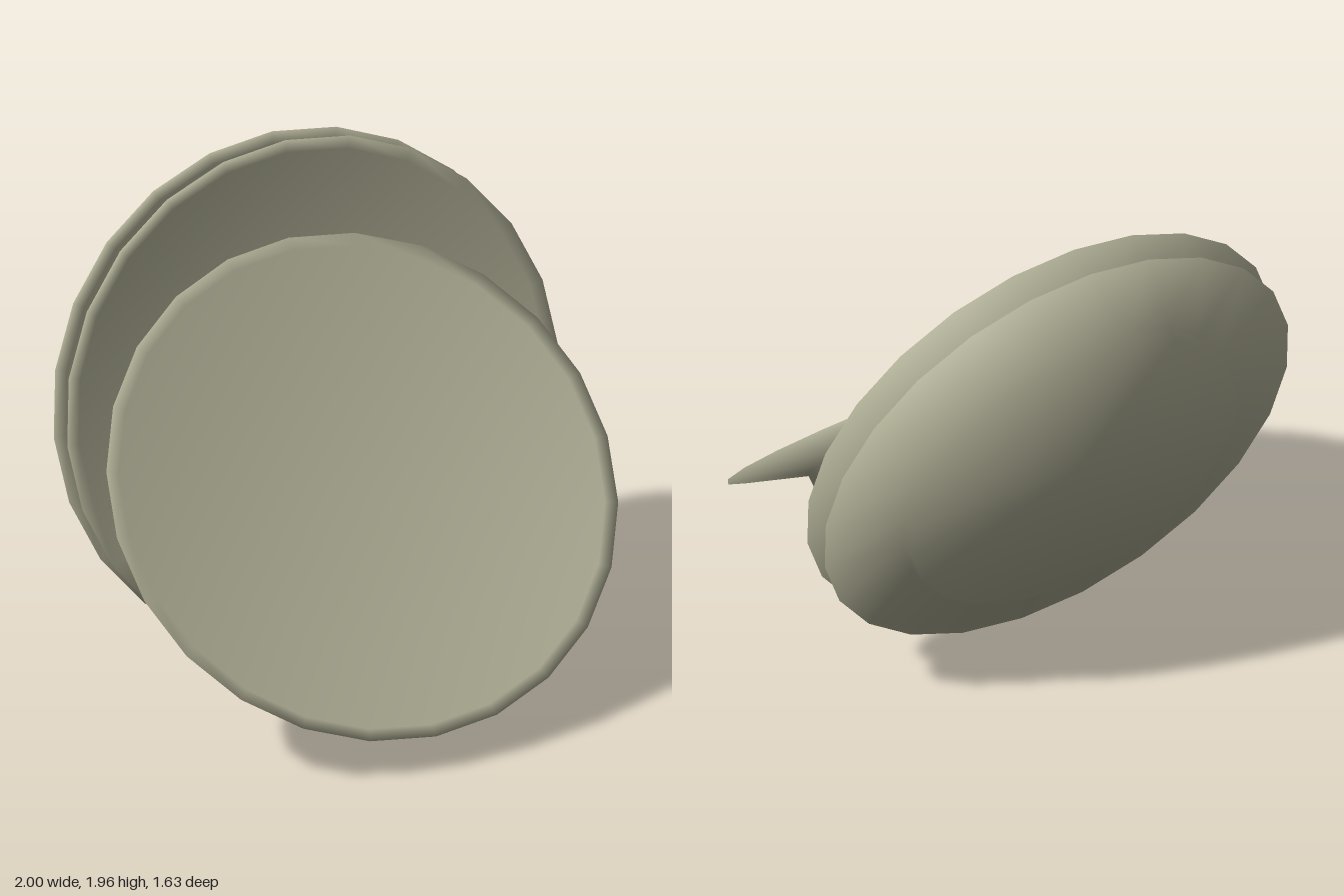
import * as THREE from 'three';

const SEGMENTS = 24;

// Half section of a plate, from the foot centre out to the rim and back to the well centre
const PROFILE = [
  [0, -0.137], [0.70, -0.137], [0.706, -0.078], [1, 0], [0.95, -0.006], [0.62, -0.09], [0, -0.09],
].map(([r, d]) => new THREE.Vector2(r, d));

// Smooth normal of each profile point: equal-weight mean of its two neighbouring edges
function profileNormals(points) {
  const edges = points.slice(1).map((p, i) => {
    const d = p.clone().sub(points[i]).normalize();
    return new THREE.Vector2(d.y, -d.x);
  });
  return points.map((p, i) => {
    if (i === 0) return edges[0].clone();
    if (i === points.length - 1) return edges[i - 1].clone();
    return edges[i - 1].clone().add(edges[i]).normalize();
  });
}

function plateGeometry() {
  const geometry = new THREE.LatheGeometry(PROFILE, SEGMENTS);
  const section = profileNormals(PROFILE);
  const normal = geometry.attributes.normal;
  for (let i = 0; i < normal.count; i++) {
    const n = section[i % PROFILE.length];
    const phi = Math.floor(i / PROFILE.length) / SEGMENTS * Math.PI * 2;
    normal.setXYZ(i, n.x * Math.sin(phi), n.y, n.x * Math.cos(phi));
  }
  return geometry;
}

export function createModel() {
  const group = new THREE.Group();
  group.name = 'plates';
  const ceramic = new THREE.MeshStandardMaterial({ color: 0xabaa92 });
  ceramic.name = 'stone glaze';
  const geometry = plateGeometry();

  // Two upright plates nested together, and one leaning on them at 45 degrees
  const plates = [
    { name: 'backPlate', y: 0.97, z: -0.5, lean: 15 },
    { name: 'middlePlate', y: 1.0, z: -0.37, lean: 15 },
    { name: 'frontPlate', y: 0.853, z: 0.107, lean: 45 },
  ];
  for (const { name, y, z, lean } of plates) {
    const plate = new THREE.Mesh(geometry, ceramic);
    plate.name = name;
    plate.position.set(0, y, z);
    plate.rotation.x = THREE.MathUtils.degToRad(90 - lean);
    group.add(plate);
  }
  return group;
}
